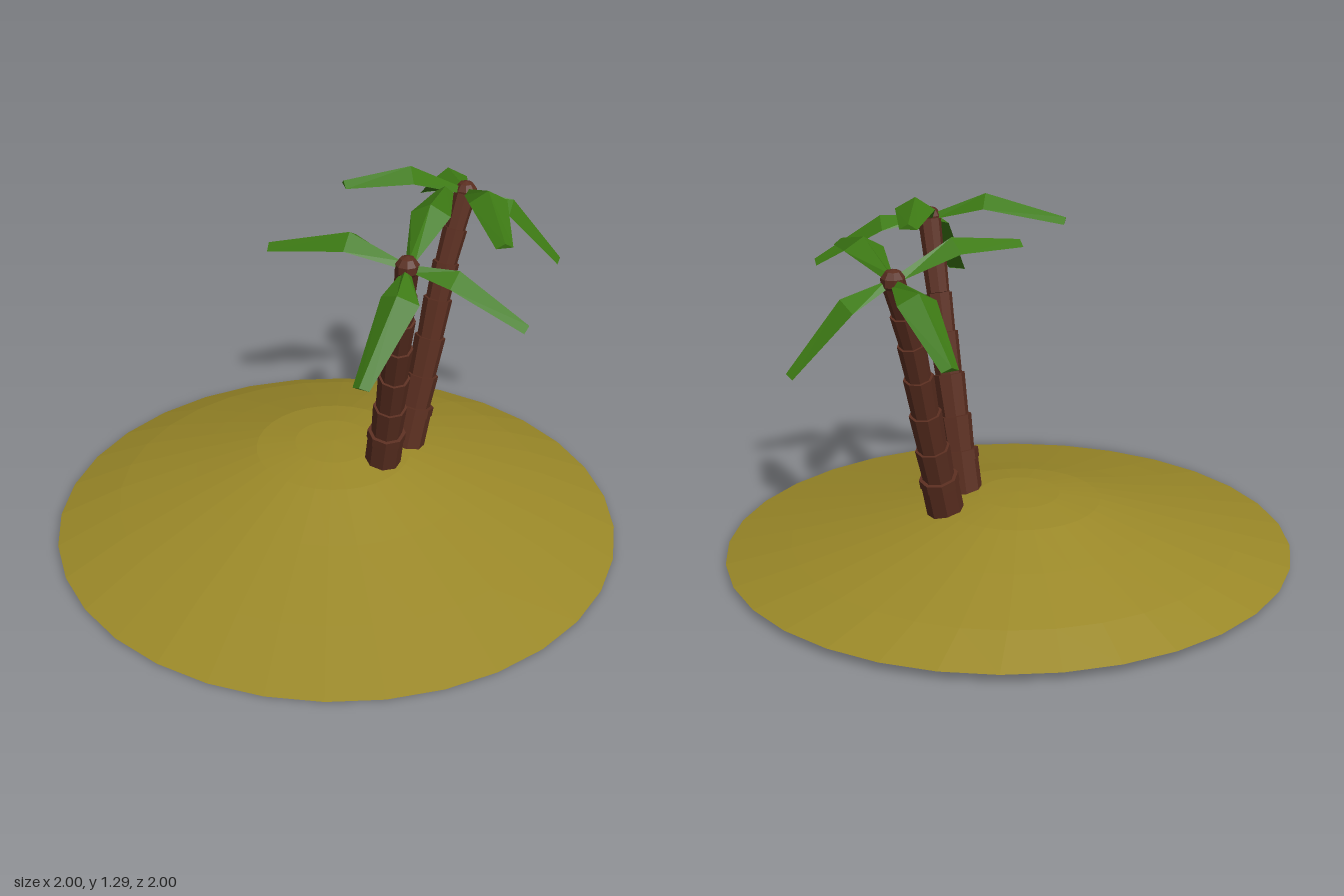
import * as THREE from 'three';

const V = (x, y, z) => new THREE.Vector3(x, y, z);
const sand = new THREE.MeshStandardMaterial({ color: 0x9a8828, flatShading: true, side: THREE.DoubleSide });
const bark = new THREE.MeshStandardMaterial({ color: 0x5a2e20, flatShading: true });
const green = new THREE.MeshStandardMaterial({ color: 0x3d7a14, flatShading: true });

function named(geometry, material, name) {
  const mesh = new THREE.Mesh(geometry, material);
  mesh.name = name;
  return mesh;
}

// Skin consecutive closed rings of points; optionally close both ends.
function loft(rings, capped) {
  const pos = [];
  const tri = (...pts) => pts.forEach((p) => pos.push(p.x, p.y, p.z));
  for (let i = 0; i < rings.length - 1; i++) {
    const a = rings[i], b = rings[i + 1], n = a.length;
    for (let j = 0; j < n; j++) {
      const k = (j + 1) % n;
      if (a[j].distanceTo(a[k]) > 1e-6) tri(a[j], a[k], b[j]);
      tri(a[k], b[k], b[j]);
    }
  }
  if (capped) {
    const s = rings[0], e = rings[rings.length - 1];
    for (let j = 1; j < s.length - 1; j++) {
      tri(s[0], s[j + 1], s[j]);
      tri(e[0], e[j], e[j + 1]);
    }
  }
  const g = new THREE.BufferGeometry();
  g.setAttribute('position', new THREE.Float32BufferAttribute(pos, 3));
  g.computeVertexNormals();
  return g;
}

// Open, slightly tilted mound: [radius, height, how far the ring follows the off-centre peak]
function island() {
  const profile = [[0, 0.259, 1], [0.14, 0.254, 1], [0.28, 0.232, 1], [0.5, 0.163, 0.85], [0.78, 0.076, 0.5], [1, 0, 0]];
  const rings = profile.map(([r, h, s]) => Array.from({ length: 32 }, (_, j) => {
    const a = (j / 32) * Math.PI * 2;
    const x = r * Math.cos(a), z = r * Math.sin(a);
    return V(x + 0.085 * s, 0.017 + h + 0.01 * x - 0.013 * z, z - 0.105 * s);
  }));
  return named(loft(rings, false), sand, 'island');
}

// Tapered cylinder between two points
function limb(a, b, ra, rb, name) {
  const d = b.clone().sub(a);
  const mesh = named(new THREE.CylinderGeometry(rb, ra, d.length(), 8), bark, name);
  mesh.position.copy(a).add(b).multiplyScalar(0.5);
  mesh.quaternion.setFromUnitVectors(V(0, 1, 0), d.normalize());
  return mesh;
}

// Leaning trunk of stacked segments, each flaring towards its top
function trunk(points) {
  const g = new THREE.Group();
  g.name = 'trunk';
  const curve = new THREE.CatmullRomCurve3(points);
  const cuts = [0, 0.15, 0.29, 0.44, 0.59, 0.73, 0.86, 1];
  for (let i = 0; i < cuts.length - 1; i++) {
    const r = 0.064 - 0.028 * cuts[i];
    g.add(limb(curve.getPointAt(cuts[i]), curve.getPointAt(cuts[i + 1]),
      r * (i ? 0.9 : 1), r, 'trunkSegment'));
  }
  g.add(limb(curve.getPointAt(0.13), curve.getPointAt(0.165), 0.068, 0.068, 'trunkRing'));
  return g;
}

// Folded leaf: narrow at the crown, broad in the middle, blunt at the tip
function leaf(base, mid, tip) {
  const path = [base, mid, tip];
  const flat = tip.clone().sub(base).setY(0).normalize();
  const side = flat.clone().cross(V(0, 1, 0));
  const sizes = [[0.016, 0.012], [0.068, 0.025], [0.03, 0.012]];
  const rings = path.map((p, i) => {
    const t = path[Math.min(i + 1, 2)].clone().sub(path[Math.max(i - 1, 0)]).normalize();
    const up = side.clone().cross(t);
    const [w, h] = sizes[i];
    const at = (s, u) => p.clone().addScaledVector(side, s).addScaledVector(up, u);
    return [at(-w, -h * 0.6), at(0, h), at(w, -h * 0.6), at(0, -h * 0.4)];
  });
  return named(loft(rings, true), green, 'leaf');
}

function palm(name, stem, leaves) {
  const g = new THREE.Group();
  g.name = name;
  const top = stem[stem.length - 1];
  const crown = named(new THREE.SphereGeometry(0.042, 8, 5), bark, 'crown');
  crown.position.copy(top);
  g.add(trunk(stem), crown);
  for (const [mid, tip] of leaves) {
    const base = top.clone().lerp(mid, 0.12);
    g.add(leaf(base, mid, tip));
  }
  return g;
}

export function createModel() {
  const model = new THREE.Group();
  model.name = 'palmIsland';
  model.add(island());
  model.add(palm('rightPalm',
    [V(0.145, 0.24, 0.085), V(0.115, 0.55, 0.155), V(0.065, 0.88, 0.245), V(0, 1.165, 0.335)],
    [
      [V(0.09, 1.15, 0.47), V(0.21, 1.0, 0.675)],
      [V(-0.12, 1.125, 0.42), V(-0.32, 0.89, 0.455)],
      [V(-0.09, 1.235, 0.16), V(-0.225, 1.17, -0.08)],
      [V(0.2, 1.27, 0.24), V(0.385, 1.25, 0.125)],
    ]));
  model.add(palm('leftPalm',
    [V(0.305, 0.235, 0.045), V(0.41, 0.6, 0.04), V(0.5, 0.9, 0.03), V(0.6, 1.14, 0.02)],
    [
      [V(0.68, 1.13, -0.14), V(0.78, 0.97, -0.34)],
      [V(0.73, 1.08, 0.11), V(0.87, 0.86, 0.23)],
      [V(0.51, 1.21, 0.21), V(0.365, 1.15, 0.425)],
      [V(0.42, 1.235, -0.08), V(0.22, 1.215, -0.2)],
    ]));
  return model;
}
